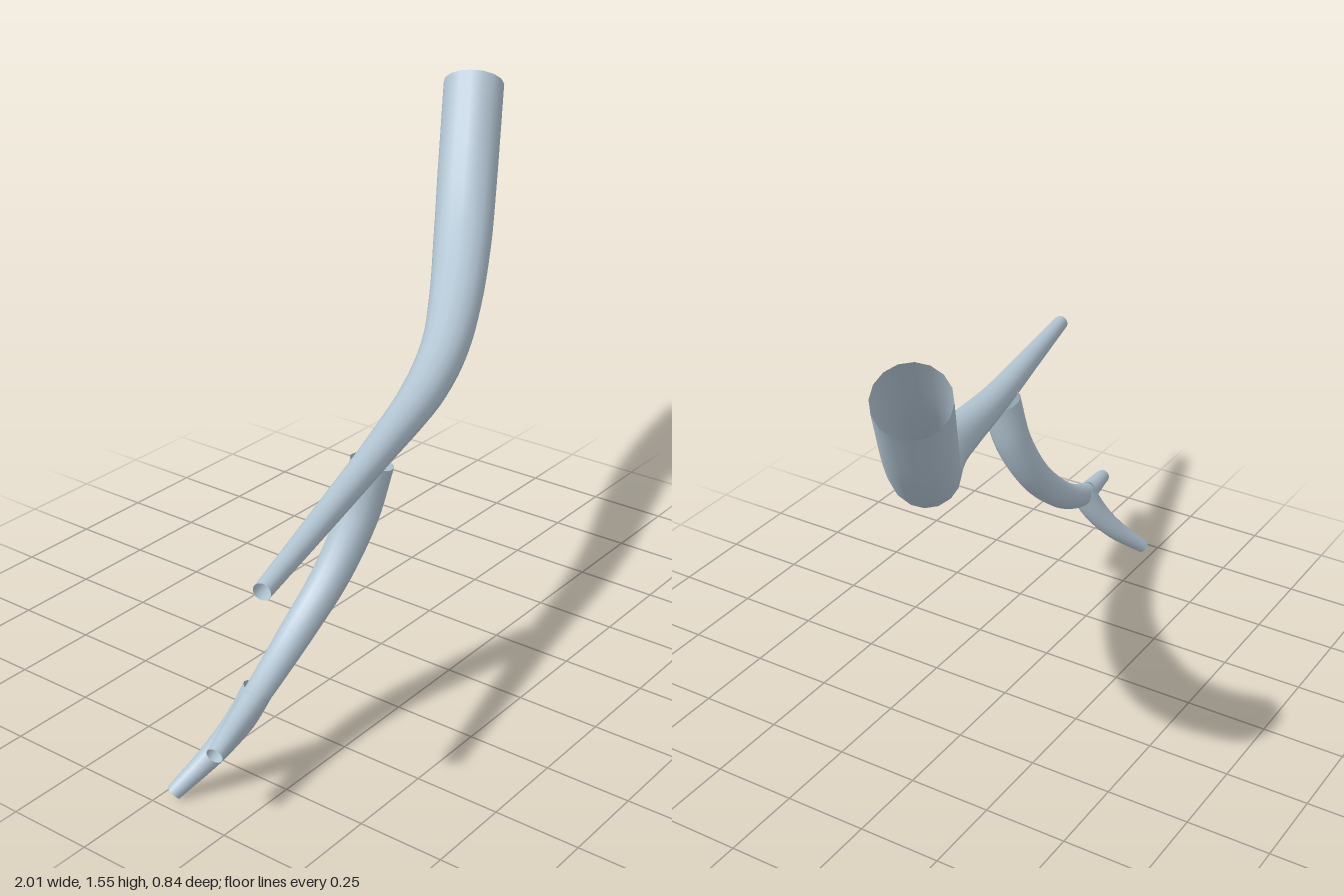
import * as THREE from 'three';

const SIDES = 16;

// Open tapered tube through stations of [x, y, z, radius]
function taperedTube(stations, segments) {
  const curve = new THREE.CatmullRomCurve3(stations.map(([x, y, z]) => new THREE.Vector3(x, y, z)));
  const geometry = new THREE.TubeGeometry(curve, segments, 1, SIDES, false);
  const position = geometry.attributes.position;
  const vertex = new THREE.Vector3();
  for (let i = 0; i <= segments; i++) {
    const u = i / segments;
    const centre = curve.getPointAt(u);
    const s = curve.getUtoTmapping(u) * (stations.length - 1);
    const k = Math.min(Math.floor(s), stations.length - 2);
    const radius = THREE.MathUtils.lerp(stations[k][3], stations[k + 1][3], s - k);
    for (let j = 0; j <= SIDES; j++) {
      const index = i * (SIDES + 1) + j;
      vertex.fromBufferAttribute(position, index).sub(centre).multiplyScalar(radius).add(centre);
      position.setXYZ(index, vertex.x, vertex.y, vertex.z);
    }
  }
  return geometry;
}

export function createModel() {
  const bark = new THREE.MeshStandardMaterial({ color: 0xb4c6d4, side: THREE.DoubleSide });
  bark.name = 'paleBlueGrey';
  const model = new THREE.Group();
  model.name = 'branch';

  const parts = {
    // Thick limb, sweeping down and thinning to the tip
    mainLimb: [
      [0.925, 1.49, -0.33, 0.096], [0.76, 1.26, -0.235, 0.094], [0.6, 1.1, -0.14, 0.09],
      [0.4, 0.985, -0.025, 0.08], [0.2, 0.915, 0.075, 0.069], [0, 0.865, 0.145, 0.061],
      [-0.3, 0.822, 0.22, 0.046], [-0.65, 0.79, 0.31, 0.035], [-0.995, 0.76, 0.398, 0.024],
    ],
    // Side branch hanging from the limb
    sideBranch: [
      [-0.335, 0.8, 0.222, 0.061], [-0.37, 0.65, 0.2, 0.057], [-0.457, 0.497, 0.175, 0.052],
      [-0.59, 0.37, 0.157, 0.046], [-0.76, 0.28, 0.17, 0.037], [-0.99, 0.226, 0.219, 0.023],
    ],
    // Small twig at the end of the side branch
    twig: [
      [-0.765, 0.29, 0.172, 0.042], [-0.8, 0.21, 0.143, 0.04],
      [-0.86, 0.12, 0.098, 0.033], [-0.957, 0.02, 0.037, 0.022],
    ],
  };
  for (const [name, stations] of Object.entries(parts)) {
    const mesh = new THREE.Mesh(taperedTube(stations, stations.length * 5), bark);
    mesh.name = name;
    model.add(mesh);
  }
  return model;
}
